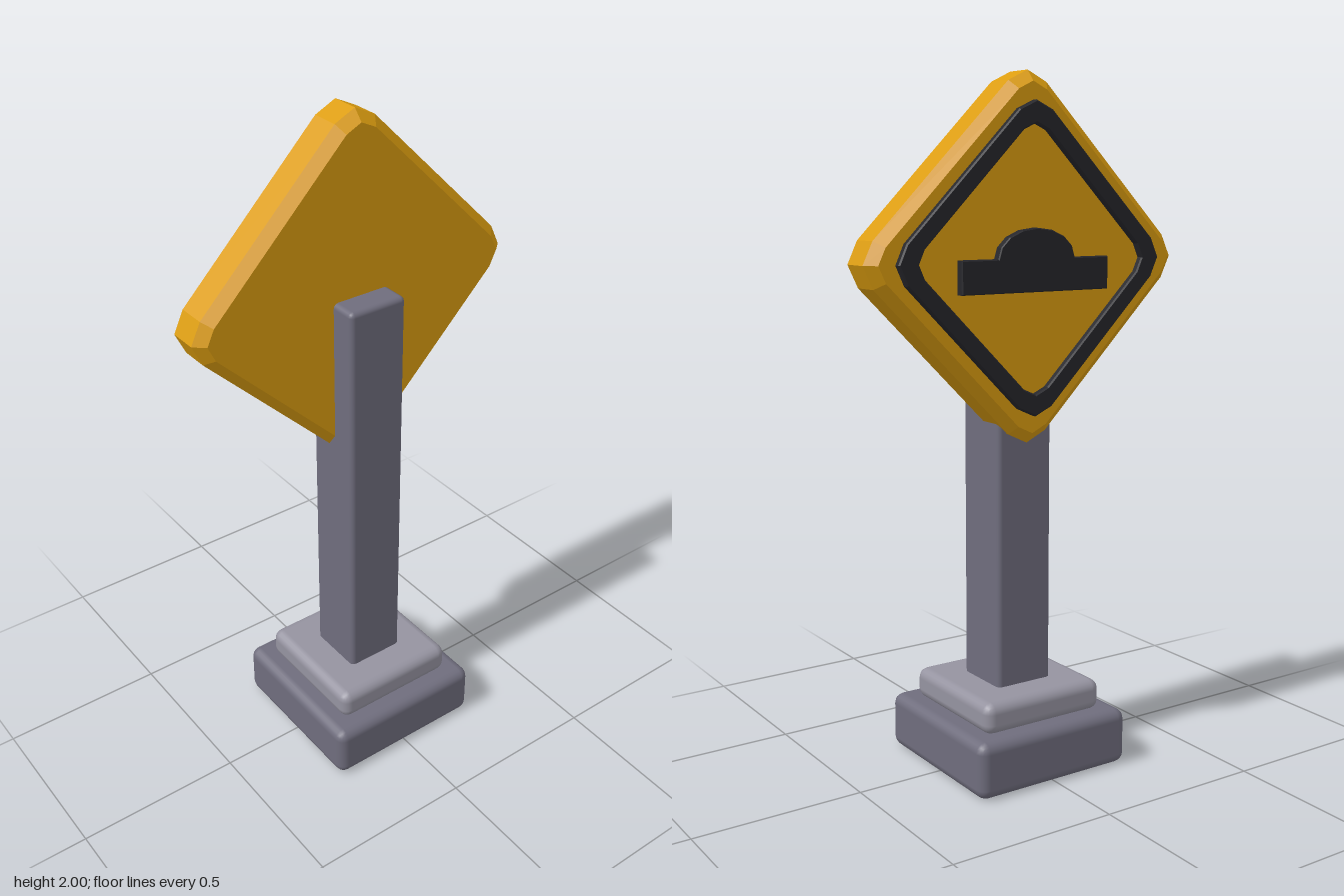
import * as THREE from 'three';
import { RoundedBoxGeometry } from 'three/addons/geometries/RoundedBoxGeometry.js';

const material = (name, color) => {
  const m = new THREE.MeshStandardMaterial({ color });
  m.name = name;
  return m;
};

// Diamond outline: each corner is a tip at distance r with two shoulders
function diamondPoints(r, shoulder, drop) {
  const points = [];
  for (let i = 0; i < 4; i++) {
    const corner = [[r - drop, -shoulder], [r, 0], [r - drop, shoulder]];
    for (const [x, y] of corner) {
      points.push(new THREE.Vector2(x, y).rotateAround(new THREE.Vector2(), i * Math.PI / 2));
    }
  }
  return points;
}

// Plate between two z positions with a single chamfer kept inside the outline
function plate(shape, zBack, zFront, bevel) {
  const geometry = new THREE.ExtrudeGeometry(shape, {
    depth: zFront - zBack - 2 * bevel,
    bevelEnabled: true,
    bevelThickness: bevel,
    bevelSize: bevel,
    bevelOffset: -bevel,
    bevelSegments: 1,
    curveSegments: 6,
  });
  return geometry.translate(0, 0, zBack + bevel);
}

export function createModel() {
  const group = new THREE.Group();
  const grey = material('dark grey', 0x6f6d7d);
  const lightGrey = material('light grey', 0x9593a0);
  const yellow = material('sign yellow', 0xdc9d10);
  const black = material('sign black', 0x26262b);

  const add = (name, geometry, mat, y) => {
    const mesh = new THREE.Mesh(geometry, mat);
    mesh.name = name;
    mesh.position.y = y;
    group.add(mesh);
  };
  const block = (name, width, y0, y1, radius, mat) =>
    add(name, new RoundedBoxGeometry(width, y1 - y0, width, 2, radius), mat, (y0 + y1) / 2);

  // Stepped foot and square post
  block('base', 0.51, 0, 0.165, 0.03, grey);
  block('baseStep', 0.4, 0.16, 0.252, 0.03, lightGrey);
  block('post', 0.184, 0.235, 1.487, 0.015, grey);

  // Chamfered diamond board
  const signY = 1.485;
  const board = new THREE.Shape(diamondPoints(0.515, 0.063, 0.03));
  add('signBoard', plate(board, -0.127, 0.013, 0.028), yellow, signY);

  // Raised border ring on the sign's face
  const ring = new THREE.Shape(diamondPoints(0.434, 0.055, 0.025));
  ring.holes.push(new THREE.Path(diamondPoints(0.372, 0.04, 0.018).reverse()));
  add('signBorder', plate(ring, -0.146, -0.12, 0.004), black, signY);

  // Road bump symbol: a bar with a rounded hump
  const bump = new THREE.Shape();
  bump.moveTo(-0.245, -0.085);
  bump.lineTo(0.245, -0.085);
  bump.lineTo(0.245, 0.008);
  for (let i = 0; i <= 8; i++) {
    const a = i / 8 * Math.PI;
    bump.lineTo(0.128 * Math.cos(a), 0.008 + 0.083 * Math.sin(a));
  }
  bump.lineTo(-0.245, 0.008);
  bump.closePath();
  add('bumpSymbol', plate(bump, -0.151, -0.12, 0.003), black, signY);

  return group;
}
